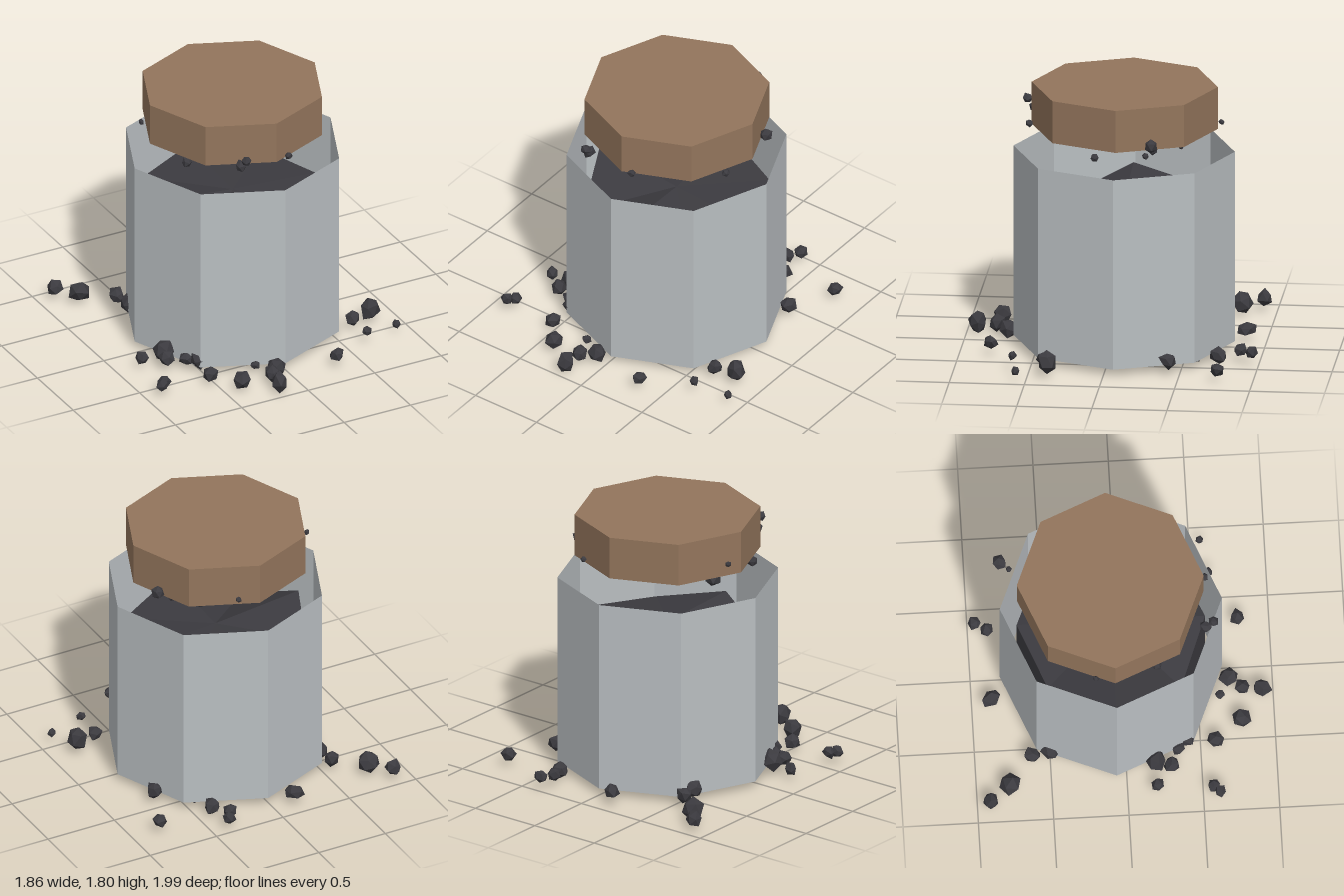
import * as THREE from 'three';
import { mergeVertices } from 'three/addons/utils/BufferGeometryUtils.js';

const flat = (name, color, side = THREE.FrontSide) => {
  const m = new THREE.MeshStandardMaterial({ color, flatShading: true, side });
  m.name = name;
  return m;
};

// Small seeded generator for the rock shapes
let seed = 7;
const rand = () => {
  seed = (seed * 16807) % 2147483647;
  return seed / 2147483647;
};

// Faceted lump: an icosahedron with each corner pushed in or out
function rockGeometry(r) {
  const raw = new THREE.IcosahedronGeometry(r, 0);
  raw.deleteAttribute('normal');
  raw.deleteAttribute('uv');
  const g = mergeVertices(raw);
  const p = g.attributes.position;
  for (let i = 0; i < p.count; i++) {
    const k = 0.82 + 0.4 * rand();
    p.setXYZ(i, p.getX(i) * k, p.getY(i) * k, p.getZ(i) * k);
  }
  g.rotateX(rand() * 6).rotateY(rand() * 6);
  g.computeVertexNormals();
  return g;
}

export function createModel() {
  const group = new THREE.Group();
  const glass = flat('pale grey', 0xb9bec1, THREE.DoubleSide);
  const wood = flat('lid brown', 0x93755c);
  const coal = flat('coal', 0x3b3a3f);

  const add = (name, geometry, material, x, y, z, parent = group) => {
    const m = new THREE.Mesh(geometry, material);
    m.name = name;
    m.position.set(x, y, z);
    parent.add(m);
    return m;
  };

  // Open eight-sided jar and its floating lid
  add('jarWall', new THREE.CylinderGeometry(0.737, 0.737, 1.31, 8, 1, true), glass, 0.005, 0.715, -0.066);
  add('lid', new THREE.CylinderGeometry(0.62, 0.62, 0.29, 8), wood, 0.005, 1.67, -0.07);

  // Filling with an uneven top; heights go round from +z towards +x
  const tops = [1.04, 0.95, 0.98, 1.0, 1.05, 1.01, 1.09, 0.89];
  const fill = new THREE.CylinderGeometry(0.625, 0.625, 1, 8);
  const p = fill.attributes.position;
  for (let i = 0; i < p.count; i++) {
    if (p.getY(i) < 0) { p.setY(i, 0.11); continue; }
    const x = p.getX(i), z = p.getZ(i);
    const k = (Math.round(Math.atan2(x, z) / (Math.PI / 4)) + 8) % 8;
    p.setY(i, Math.hypot(x, z) < 0.1 ? 1.02 : tops[k]);
  }
  fill.computeVertexNormals();
  add('filling', fill, coal, 0.005, 0, -0.066);

  // Scattered lumps on the ground: x, y, z, radius
  const ground = [
    [-0.88, 0.1, -0.91, 0.055], [-0.76, 0.1, -0.78, 0.072], [-0.57, 0.1, -0.62, 0.055],
    [-0.55, 0.1, -0.49, 0.065], [0.38, 0.1, -0.95, 0.045], [0.33, 0.1, -0.875, 0.045],
    [0.39, 0.08, -0.735, 0.06], [0.43, 0.08, -0.56, 0.06], [0.66, 0.11, -0.42, 0.055],
    [0.8, 0.1, -0.76, 0.05], [0.57, 0.1, 0.13, 0.07], [-0.82, 0.09, 0.2, 0.045],
    [-0.66, 0.11, 0.2, 0.07], [-0.69, 0.1, 0.3, 0.055], [-0.57, 0.09, 0.35, 0.045],
    [-0.49, 0.11, 0.4, 0.075], [-0.89, 0.1, 0.61, 0.04], [-0.85, 0.1, 0.57, 0.045],
    [-0.52, 0.08, 0.6, 0.052], [-0.38, 0.09, 0.78, 0.06], [-0.21, 0.09, 0.645, 0.032],
    [-0.08, 0.08, 0.71, 0.063], [-0.165, 0.09, 0.8, 0.055]];
  const groundMore = [
    [0.33, 0.1, 0.79, 0.05], [0.27, 0.07, 0.465, 0.06], [0.66, 0.1, 0.4, 0.05],
    [0.65, 0.11, 0.615, 0.03], [0.89, 0.08, 0.57, 0.03]];
  // Lumps flying out under the lid
  const flying = [
    [0.19, 1.63, -0.735, 0.02], [-0.25, 1.625, 0.6, 0.035], [-0.265, 1.565, 0.55, 0.042],
    [0.09, 1.555, 0.556, 0.027], [0.565, 1.56, -0.3, 0.042], [-0.42, 1.46, -0.13, 0.058],
    [-0.49, 1.49, 0.21, 0.034], [0.34, 1.505, -0.48, 0.026], [0.44, 1.5, -0.3, 0.038],
    [0.43, 1.45, -0.25, 0.025], [0.52, 1.455, 0.08, 0.026], [-0.61, 1.625, -0.2, 0.02]];
  const scatter = (name, list) => {
    const set = new THREE.Group();
    set.name = name;
    group.add(set);
    for (const [x, y, z, r] of list) add('lump', rockGeometry(r), coal, x, y, z, set);
    return set;
  };
  scatter('groundLumps', [...ground, ...groundMore]);
  scatter('flyingLumps', flying);

  // Three stretched lumps
  const long = scatter('longLumps', [[-0.15, 0.1, -0.87, 0.05], [-0.175, 0.085, 0.925, 0.058], [0.81, 0.12, 0.37, 0.07]]);
  long.children[0].scale.set(1, 0.9, 1.5);
  long.children[0].rotation.y = 0.7;
  long.children[1].scale.set(0.9, 1.25, 1.15);
  long.children[2].scale.set(1, 1.25, 0.9);
  return group;
}
